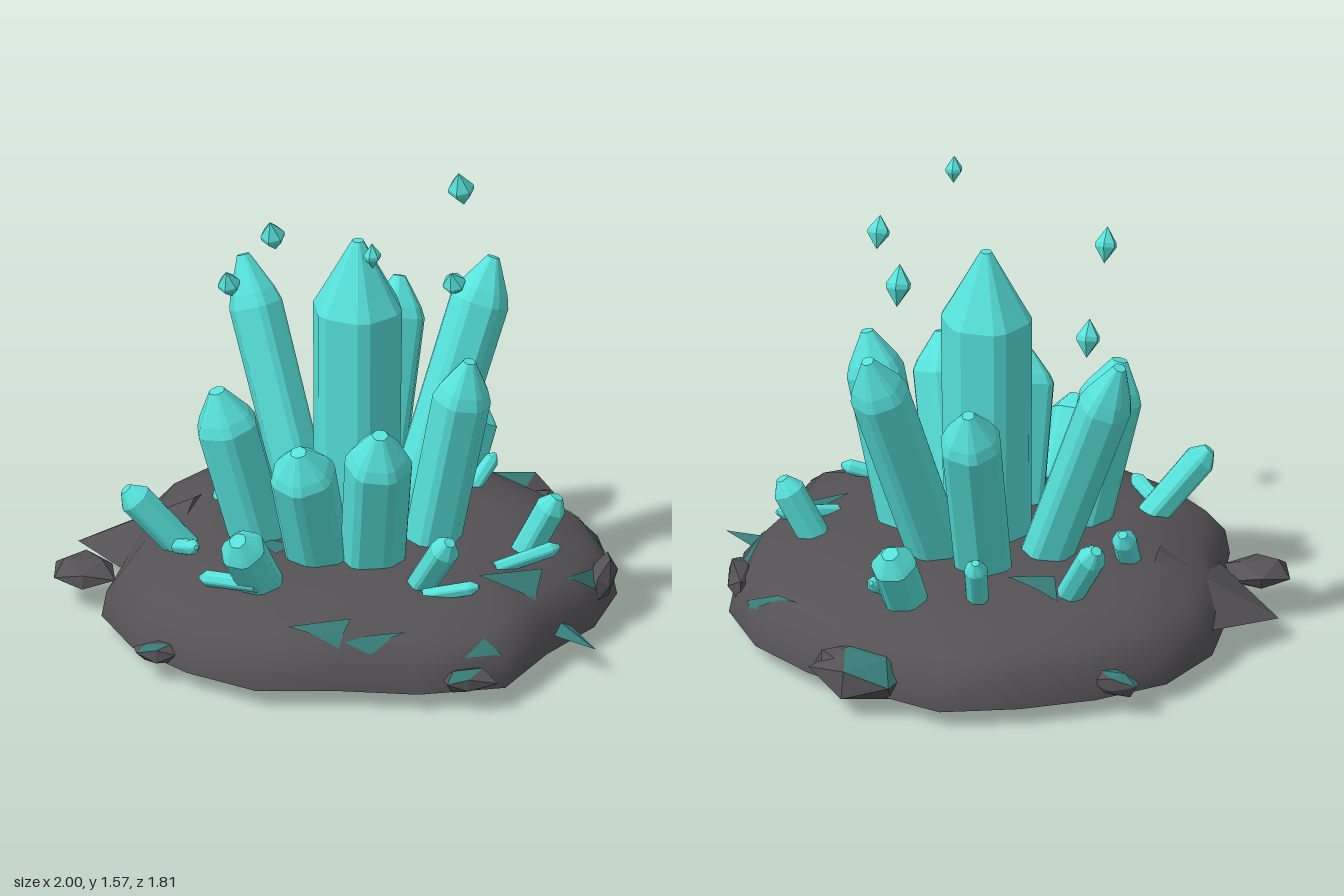
import * as THREE from 'three';

const V = (a) => new THREE.Vector3(...a);
const UP = new THREE.Vector3(0, 1, 0);

let seed = 7;
function rand() {
  seed = (seed * 16807) % 2147483647;
  return seed / 2147483647;
}

// Six-sided prism with chamfered edges and a pointed cap, running from base to tip
function crystal(name, base, tip, r, cap, tipR, spin, material) {
  const b = V(base), axis = V(tip).sub(b), len = axis.length();
  const bulge = cap > 0.2 ? 0.75 : 0.84;
  const profile = [[0, 0], [r * 0.95, 0], [r, len - cap], [r * bulge, len - cap * 0.72], [tipR, len], [0, len]];
  const geo = new THREE.LatheGeometry(profile.map((p) => new THREE.Vector2(...p)), 12);
  const p = geo.attributes.position, v = new THREE.Vector3();
  for (let i = 0; i < p.count; i++) {
    const side = Math.floor(i / profile.length);
    v.fromBufferAttribute(p, i).applyAxisAngle(UP, side % 2 ? -0.12 : 0.12);
    p.setXYZ(i, v.x, v.y, v.z);
  }
  geo.rotateY(spin);
  const mesh = new THREE.Mesh(geo, material);
  mesh.name = name;
  mesh.position.copy(b);
  mesh.quaternion.setFromUnitVectors(UP, axis.normalize());
  return mesh;
}

// Outline radius of the rock every 18 degrees, from +x towards +z
const OUTLINE = [0.9, 0.87, 0.98, 0.91, 0.85, 0.91, 0.9, 0.9, 0.89, 0.79,
  0.82, 0.87, 0.89, 0.86, 0.86, 0.9, 0.85, 0.86, 0.9, 0.92];

// Stack of scaled outlines
function rockSurface(name, rings, wobble, material) {
  const n = OUTLINE.length, pos = [], index = [];
  rings.forEach(([f, y]) => {
    for (let i = 0; i < n; i++) {
      const a = (i / n) * Math.PI * 2, r = OUTLINE[i] * f;
      pos.push(r * Math.cos(a), y + (rand() - 0.5) * wobble * (f > 0 && f < 0.97 ? 1 : 0), r * Math.sin(a));
    }
  });
  for (let k = 0; k < rings.length - 1; k++) {
    for (let i = 0; i < n; i++) {
      const j = (i + 1) % n, a = k * n + i, b = k * n + j;
      if (rings[k][0] > 0) index.push(a, a + n, b);
      if (rings[k + 1][0] > 0) index.push(b, a + n, b + n);
    }
  }
  const geo = new THREE.BufferGeometry();
  geo.setAttribute('position', new THREE.Float32BufferAttribute(pos, 3));
  geo.setIndex(index);
  geo.computeVertexNormals();
  const mesh = new THREE.Mesh(geo, material);
  mesh.name = name;
  return mesh;
}

// Thin triangle draped over a rock surface, from three x, z corners; dir is 1 on top, -1 below
function drapedInlay([a, b, c], surface, dir, material) {
  const N = 5, pos = [], index = [], at = [];
  const ray = new THREE.Raycaster();
  for (let i = 0; i <= N; i++) {
    at.push(pos.length / 3);
    for (let j = 0; j <= N - i; j++) {
      const k = N - i - j;
      const x = (a[0] * i + b[0] * j + c[0] * k) / N, z = (a[1] * i + b[1] * j + c[1] * k) / N;
      ray.set(new THREE.Vector3(x, dir, z), new THREE.Vector3(0, -dir, 0));
      const hit = ray.intersectObject(surface)[0];
      pos.push(x, (hit ? hit.point.y : 0.07) + dir * 0.006, z);
    }
  }
  for (let i = 0; i < N; i++) {
    for (let j = 0; j < N - i; j++) {
      index.push(at[i] + j, at[i] + j + 1, at[i + 1] + j);
      if (j < N - i - 1) index.push(at[i] + j + 1, at[i + 1] + j + 1, at[i + 1] + j);
    }
  }
  const geo = new THREE.BufferGeometry();
  geo.setAttribute('position', new THREE.Float32BufferAttribute(pos, 3));
  geo.setIndex(index);
  geo.computeVertexNormals();
  const mesh = new THREE.Mesh(geo, material);
  mesh.name = 'crystalInlay';
  return mesh;
}

// Irregular faceted stone with an optional few inlaid faces
function stone(center, size, turn, inlaid, materials) {
  const geo = new THREE.IcosahedronGeometry(1, 0);
  const p = geo.attributes.position, shifts = {};
  for (let i = 0; i < p.count; i++) {
    const key = [p.getX(i), p.getY(i), p.getZ(i)].map((v) => v.toFixed(2)).join();
    const s = (shifts[key] ??= 0.8 + rand() * 0.4);
    p.setXYZ(i, p.getX(i) * s, p.getY(i) * s, p.getZ(i) * s);
  }
  geo.computeVertexNormals();
  geo.addGroup(0, inlaid * 3, 1);
  geo.addGroup(inlaid * 3, p.count - inlaid * 3, 0);
  const mesh = new THREE.Mesh(geo, materials);
  mesh.name = 'rimStone';
  mesh.position.set(...center);
  mesh.scale.set(...size);
  mesh.rotation.y = turn;
  return mesh;
}

// Flat four-sided rock spike pointing outward from the rim
function spike(base, tip, halfWidth, halfHeight, material) {
  const len = V(base).distanceTo(V(tip));
  const cone = new THREE.ConeGeometry(1, 1, 4).translate(0, 0.5, 0).rotateX(Math.PI / 2);
  const geo = cone.scale(halfWidth, halfHeight, len).toNonIndexed();
  geo.computeVertexNormals();
  const mesh = new THREE.Mesh(geo, material);
  mesh.name = 'rimSpike';
  mesh.position.set(...base);
  mesh.lookAt(V(tip));
  return mesh;
}

export function createModel() {
  seed = 7;
  const teal = new THREE.MeshStandardMaterial({ color: 0x56e2da, flatShading: true });
  teal.name = 'crystalTeal';
  const grey = new THREE.MeshStandardMaterial({ color: 0x545255 });
  grey.name = 'rockGrey';
  const inlay = new THREE.MeshStandardMaterial({ color: 0x367a76, side: THREE.DoubleSide });
  inlay.name = 'inlayTeal';
  const model = new THREE.Group();
  model.name = 'crystalCluster';

  // Rock mound and its flat underside
  const rock = new THREE.Group();
  rock.name = 'rock';
  const top = rockSurface('rockTop',
    [[1, 0.07], [0.98, 0.16], [0.9, 0.24], [0.72, 0.295], [0.48, 0.33], [0, 0.345]], 0.02, grey);
  const under = rockSurface('rockUnderside', [[0, 0.055], [0.75, 0.055], [1, 0.07]], 0, grey);
  rock.add(top, under);

  // Crystal inlays in the rock faces
  [
    [[0.72, 0.03], [0.56, 0.23], [0.765, 0.215]],
    [[-0.32, -0.45], [-0.12, -0.34], [-0.28, -0.31]],
    [[0.06, 0.76], [0.25, 0.65], [0.25, 0.76]],
    [[0.26, 0.74], [0.45, 0.64], [0.36, 0.74]],
    [[0.58, -0.52], [0.765, -0.44], [0.79, -0.385]],
    [[0.81, 0.02], [0.83, -0.17], [0.87, -0.09]],
    [[0.7, 0.54], [0.77, 0.55], [0.66, 0.62]],
    [[-0.27, 0.25], [-0.1, 0.28], [-0.14, 0.36]],
  ].forEach((t) => rock.add(drapedInlay(t, top, 1, inlay)));
  [
    [[0.74, 0.38], [0.59, 0.23], [0.545, 0.49]],
    [[0.15, -0.05], [-0.1, -0.155], [-0.07, 0.03]],
    [[0.32, 0.32], [0.035, 0.29], [0.13, 0.47]],
    [[-0.61, -0.35], [-0.77, -0.33], [-0.76, -0.16]],
  ].forEach((t) => rock.add(drapedInlay(t, under, -1, inlay)));

  // Stones around the rim: centre, size, turn, inlaid faces
  [
    [[-0.87, 0.12, 0.3], [0.12, 0.05, 0.13], 0.3, 0],
    [[0.29, 0.135, -0.76], [0.18, 0.085, 0.15], -0.4, 5],
    [[0.4, 0.12, -0.72], [0.1, 0.08, 0.1], 0.5, 0],
    [[-0.56, 0.13, -0.66], [0.1, 0.05, 0.035], -0.1, 6],
    [[-0.4, 0.11, 0.81], [0.09, 0.04, 0.045], 0.2, 2],
    [[0.68, 0.11, 0.65], [0.1, 0.05, 0.06], 0.5, 2],
    [[0.85, 0.165, -0.2], [0.05, 0.07, 0.13], 0.2, 0],
  ].forEach((s) => rock.add(stone(...s, [grey, inlay])));
  rock.add(spike([-0.55, 0.19, 0], [-1, 0.09, 0.02], 0.5, 0.13, grey));
  rock.add(spike([0.78, 0.12, 0.13], [1, 0.11, 0.25], 0.07, 0.04, inlay));
  model.add(rock);

  // Crystals: base, tip, radius, cap length, tip radius
  const groups = {
    largeCrystal: [
      [[0.025, 0.1, 0.01], [0.03, 1.4, 0.01], 0.158, 0.25, 0.02],
      [[0.13, 0.15, -0.12], [0.345, 1.18, -0.475], 0.103, 0.16, 0.022],
      [[-0.01, 0.15, -0.17], [-0.02, 1.03, -0.52], 0.11, 0.14, 0.022],
      [[-0.15, 0.15, -0.07], [-0.5, 1.14, -0.265], 0.094, 0.18, 0.022],
      [[0.28, 0.15, 0.03], [0.46, 1.03, 0.055], 0.102, 0.15, 0.022],
      [[-0.23, 0.15, 0.17], [-0.38, 0.885, 0.3], 0.11, 0.14, 0.028],
      [[0.15, 0.15, 0.2], [0.27, 0.875, 0.42], 0.117, 0.13, 0.028],
      [[-0.01, 0.15, 0.22], [-0.005, 0.795, 0.49], 0.115, 0.11, 0.028],
    ],
    smallCrystal: [
      [[0.17, 0.045, -0.38], [0.23, 0.53, -0.64], 0.08, 0.06, 0.03],
      [[-0.04, 0.25, -0.45], [-0.06, 0.5, -0.59], 0.04, 0.04, 0.014],
      [[-0.32, 0.25, -0.34], [-0.47, 0.55, -0.51], 0.05, 0.05, 0.02],
      [[-0.49, 0.22, 0.0], [-0.49, 0.45, -0.17], 0.043, 0.04, 0.016],
      [[-0.45, 0.24, 0.32], [-0.67, 0.515, 0.42], 0.058, 0.05, 0.022],
      [[-0.11, 0.2, 0.47], [-0.145, 0.53, 0.71], 0.08, 0.06, 0.03],
      [[0.36, 0.24, 0.33], [0.54, 0.525, 0.45], 0.052, 0.05, 0.02],
      [[0.5, 0.04, -0.04], [0.73, 0.5, -0.085], 0.056, 0.05, 0.022],
    ],
    shardCrystal: [
      [[0.58, 0.29, 0.12], [0.76, 0.34, -0.03], 0.026, 0.03, 0.008],
      [[0.43, 0.29, 0.41], [0.62, 0.34, 0.38], 0.026, 0.03, 0.008],
      [[-0.54, 0.29, 0.34], [-0.39, 0.36, 0.47], 0.028, 0.03, 0.008],
      [[-0.1, 0.34, 0.64], [-0.33, 0.31, 0.59], 0.028, 0.03, 0.008],
      [[0.27, 0.28, -0.42], [0.31, 0.38, -0.58], 0.028, 0.03, 0.008],
    ],
  };
  for (const [name, list] of Object.entries(groups)) {
    const cluster = new THREE.Group();
    cluster.name = name + 's';
    list.forEach((c, i) => cluster.add(crystal(name, ...c, 0.25 + i * 0.4, teal)));
    model.add(cluster);
  }

  // Floating double-pointed gems: centre, radius, half height, tilt
  const gems = new THREE.Group();
  gems.name = 'floatingGems';
  [
    [[0.22, 1.525, 0.365], 0.03, 0.05, 0.1],
    [[0.25, 1.45, -0.41], 0.045, 0.075, 0.35],
    [[0.44, 1.365, 0.15], 0.04, 0.06, 0.55],
    [[-0.325, 1.31, 0.325], 0.039, 0.064, 0.45],
    [[-0.385, 1.235, -0.25], 0.042, 0.068, 0.4],
  ].forEach(([center, r, h, tilt]) => {
    const profile = [[0, -h], [r, -h * 0.12], [r, h * 0.12], [0, h]].map((p) => new THREE.Vector2(...p));
    const gem = new THREE.Mesh(new THREE.LatheGeometry(profile, 6), teal);
    gem.name = 'floatingGem';
    gem.position.set(...center);
    gem.rotation.x = tilt;
    gems.add(gem);
  });
  model.add(gems);
  return model;
}
